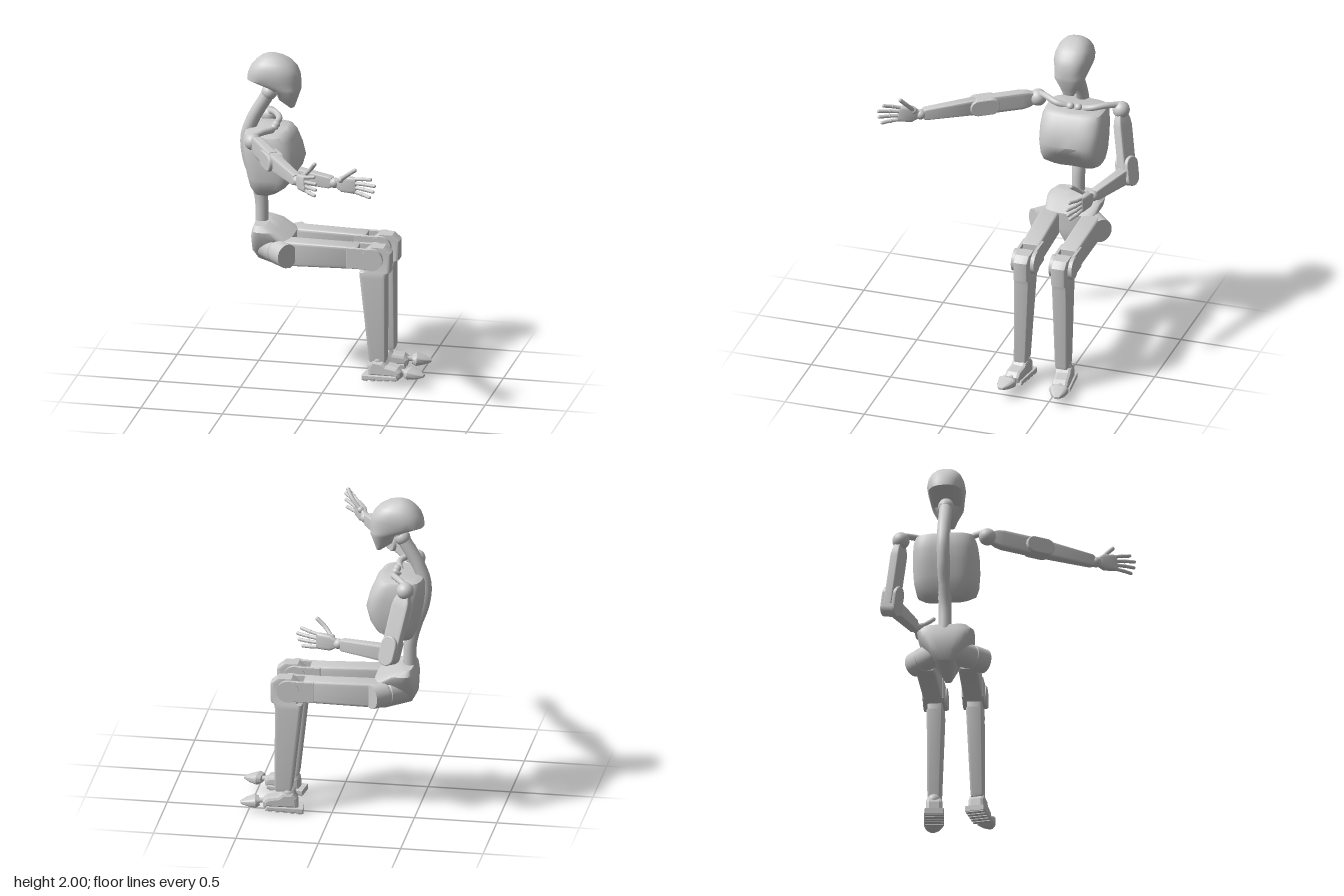
import * as THREE from 'three';
import { toCreasedNormals } from 'three/addons/utils/BufferGeometryUtils.js';

const V = (x, y, z) => new THREE.Vector3(x, y, z);
const mat = new THREE.MeshStandardMaterial({ color: 0xcccccc, roughness: 0.7 });
const MID = -0.37; // z of the body's mirror plane

function add(parent, name, geometry, pos) {
  const m = new THREE.Mesh(geometry, mat);
  m.name = name;
  if (pos) m.position.copy(pos);
  parent.add(m);
  return m;
}

// Skin over rounded cross-sections [y, xMin, xMax, halfZ, zOffset]; small p = boxier.
function loft(sections, p = 0.7, warp, n = 40) {
  const pos = [], idx = [];
  for (const [y, x0, x1, hz, dz = 0] of sections) {
    for (let j = 0; j < n; j++) {
      const t = (j / n) * Math.PI * 2, c = Math.cos(t), s = Math.sin(t);
      const v = V((x0 + x1) / 2 + ((x1 - x0) / 2) * Math.sign(c) * Math.abs(c) ** p, y,
        dz + hz * Math.sign(s) * Math.abs(s) ** p);
      if (warp) warp(v);
      pos.push(v.x, v.y, v.z);
    }
  }
  const last = sections.length - 1;
  for (let i = 0; i < last; i++) {
    for (let j = 0; j < n; j++) {
      const k = (j + 1) % n, a = i * n + j, c = i * n + k;
      idx.push(a, a + n, c, c, a + n, c + n);
    }
  }
  for (let j = 1; j < n - 1; j++) {
    idx.push(0, j, j + 1, last * n, last * n + j + 1, last * n + j);
  }
  const g = new THREE.BufferGeometry();
  g.setAttribute('position', new THREE.Float32BufferAttribute(pos, 3));
  g.setIndex(idx);
  return toCreasedNormals(g, 0.6);
}

// Group at a with its +z axis pointing to b
function aim(parent, name, a, b, up) {
  const g = new THREE.Group();
  g.name = name;
  if (up) g.up.copy(up);
  g.position.copy(a);
  g.lookAt(b);
  parent.add(g);
  return g;
}

// Boxy bar along +z from stations [z, halfWidth, halfHeight]
const bar = (stations, p = 0.22) =>
  loft(stations.map(([z, w, h]) => [z, -w, w, h]), p).rotateX(Math.PI / 2);

const tube = (pts, r) => new THREE.TubeGeometry(new THREE.CatmullRomCurve3(pts), 40, r, 16);
const ball = (r) => new THREE.SphereGeometry(r, 24, 16);
const disc = (r, h) => toCreasedNormals(new THREE.CylinderGeometry(r, r, h, 32).rotateX(Math.PI / 2), 0.6);

// Side profile in x,y given a width in z
function slab(points, width, bevel = 0.012) {
  const shape = new THREE.Shape(points.map(([x, y]) => new THREE.Vector2(x, y)));
  const depth = width - 2 * bevel;
  return new THREE.ExtrudeGeometry(shape, {
    depth, bevelSize: bevel, bevelThickness: bevel, bevelOffset: -bevel, bevelSegments: 2,
  }).translate(0, 0, -depth / 2);
}

// Hand pointing along +z, thumb up, palm towards local x * side
function makeHand(parent, wrist, tip, side) {
  const g = aim(parent, 'hand', wrist, tip);
  add(g, 'wrist', ball(0.032));
  add(g, 'palm', bar([[0.015, 0.018, 0.026], [0.05, 0.024, 0.048], [0.12, 0.02, 0.05], [0.14, 0.013, 0.045]], 0.45));
  const lengths = [0.12, 0.145, 0.135, 0.11];
  lengths.forEach((len, i) => {
    const y = 0.038 - i * 0.026, spread = y * 0.45;
    const pts = [V(0, y, 0.125), V(0.004 * side, y + spread * 0.5, 0.125 + len * 0.5),
      V(0.016 * side, y + spread, 0.125 + len)];
    add(g, 'finger', tube(pts, 0.0105));
    add(g, 'fingerKnuckle', ball(0.0135), pts[0]);
    add(g, 'fingerJoint', ball(0.0125), pts[1]);
    add(g, 'fingerTip', ball(0.0105), pts[2]);
  });
  const thumb = [V(0.015 * side, 0.03, 0.05), V(0.045 * side, 0.075, 0.105), V(0.055 * side, 0.115, 0.16)];
  add(g, 'thumb', tube(thumb, 0.0125));
  add(g, 'thumbBase', ball(0.02), thumb[0]);
  add(g, 'thumbTip', ball(0.0125), thumb[2]);
}

function makeArm(root, name, shoulder, elbow, wrist, tip, side, up) {
  const arm = new THREE.Group();
  arm.name = name;
  root.add(arm);
  add(arm, 'shoulder', ball(0.052), shoulder);
  // Upper arm with a long rounded elbow plate
  const L = shoulder.distanceTo(elbow);
  const upper = aim(arm, 'upperArm', shoulder, elbow, up);
  add(upper, 'upperArmShell', bar([[0.02, 0.018, 0.035], [0.06, 0.026, 0.05], [0.1, 0.03, 0.056], [L, 0.03, 0.055]]));
  const plate = new THREE.Shape();
  plate.absarc(0.04, 0, 0.052, -Math.PI / 2, Math.PI / 2);
  plate.absarc(-0.04, 0, 0.052, Math.PI / 2, Math.PI * 1.5);
  const plateGeo = new THREE.ExtrudeGeometry(plate, {
    depth: 0.08, bevelSize: 0.006, bevelThickness: 0.01, bevelOffset: -0.006, bevelSegments: 2, curveSegments: 20,
  }).translate(0, 0, -0.04).rotateY(-Math.PI / 2);
  add(upper, 'elbowPlate', plateGeo, V(0, 0, L - 0.02));
  // Forearm tapers to the wrist
  const F = elbow.distanceTo(wrist);
  const fore = aim(arm, 'forearm', elbow, wrist);
  add(fore, 'forearmShell', bar([[-0.03, 0.02, 0.035], [0, 0.033, 0.052], [F - 0.03, 0.026, 0.036], [F - 0.015, 0.02, 0.03]]));
  makeHand(arm, wrist, tip, side);
  // Collar bone
  add(arm, 'collarBone', tube([V(-0.39, 1.525, MID + 0.03 * side), V(-0.37, 1.55, MID + 0.11 * side),
    V(-0.41, 1.56, MID + 0.19 * side), shoulder.clone().add(V(0, 0.03, -0.01 * side))], 0.019));
}

function makeLeg(root, name, s, hipZ, kneeZ, ankleZ, footX, footY) {
  const leg = new THREE.Group();
  leg.name = name;
  root.add(leg);
  // Angled hip drum
  const hip = aim(leg, 'hip', V(-0.4, 0.795, MID + 0.06 * s), V(-0.247, 0.795, MID + 0.213 * s));
  add(hip, 'hipDrum', bar([[-0.05, 0.045, 0.055], [-0.02, 0.068, 0.074], [0.1, 0.07, 0.076], [0.105, 0.066, 0.071],
    [0.115, 0.066, 0.071], [0.12, 0.07, 0.076], [0.216, 0.068, 0.074]], 1));
  // Thigh ending in a fork around the knee
  const a = V(-0.3, 0.795, hipZ), b = V(0.165, 0.793, kneeZ);
  const T = a.distanceTo(b);
  const thigh = aim(leg, 'thigh', a, b);
  add(thigh, 'thighShell', bar([[0, 0.05, 0.068], [0.03, 0.06, 0.077], [T - 0.01, 0.058, 0.07], [T, 0.052, 0.065]]));
  for (const k of [-1, 1]) {
    add(leg, 'kneeFork', slab([[0.1, 0.73], [0.27, 0.727], [0.27, 0.859], [0.1, 0.859]], 0.02, 0.004), V(0, 0, kneeZ + k * 0.055));
    add(leg, 'kneeDisc', disc(0.068, 0.024), V(0.255, 0.793, kneeZ + k * 0.06));
  }
  // Shin with the knuckle on top
  const dz = ankleZ;
  add(leg, 'shin', loft([[0.14, 0.24, 0.335, 0.036, dz], [0.16, 0.235, 0.34, 0.04, dz],
    [0.67, 0.178, 0.34, 0.049, kneeZ], [0.7, 0.175, 0.345, 0.049, kneeZ], [0.71, 0.2, 0.365, 0.045, kneeZ],
    [0.83, 0.2, 0.368, 0.045, kneeZ], [0.865, 0.24, 0.325, 0.045, kneeZ]], 0.2));
  // Foot with grooved sole and a separate toe
  const foot = new THREE.Group();
  foot.name = 'foot';
  foot.position.set(0.29 + footX, footY, ankleZ);
  foot.rotation.y = -0.12 * s;
  leg.add(foot);
  add(foot, 'ankle', ball(0.045), V(0, 0.125, 0));
  add(foot, 'footShell', slab([[-0.06, 0.03], [-0.055, 0.1], [-0.03, 0.135], [0.04, 0.13], [0.06, 0.11],
    [0.13, 0.1], [0.155, 0.075], [0.15, 0.035]], 0.1, 0.02));
  add(foot, 'sole', slab([[-0.09, 0.006], [-0.09, 0.04], [0.13, 0.05], [0.14, 0.026]], 0.12, 0.006));
  for (let i = 0; i < 5; i++) {
    add(foot, 'soleRidge', new THREE.BoxGeometry(0.024, 0.014, 0.11), V(-0.07 + i * 0.045, 0.008 + i * 0.004, 0));
  }
  const toe = aim(foot, 'toe', V(0.15, 0.07, 0), V(0.3, 0.058, 0.01 * s));
  add(toe, 'toeLink', bar([[-0.02, 0.015, 0.015], [0.05, 0.015, 0.015]], 1));
  add(toe, 'toeCap', bar([[0.025, 0.045, 0.022], [0.05, 0.058, 0.034], [0.1, 0.042, 0.022], [0.14, 0.015, 0.008]], 0.65));
}

export function createModel() {
  const root = new THREE.Group();
  root.name = 'seatedRobot';

  // Helmet head tapering to the chin
  add(root, 'head', loft([[1.675, -0.28, -0.25, 0.035], [1.72, -0.345, -0.235, 0.06], [1.78, -0.365, -0.215, 0.092],
    [1.8, -0.42, -0.213, 0.098], [1.84, -0.538, -0.213, 0.108], [1.88, -0.533, -0.218, 0.114],
    [1.92, -0.517, -0.235, 0.108], [1.955, -0.488, -0.268, 0.093], [1.98, -0.458, -0.31, 0.068],
    [1.994, -0.43, -0.35, 0.04], [2, -0.405, -0.385, 0.015]], 0.8), V(0, 0, MID));

  // Neck and spine
  add(root, 'neckJoint', ball(0.048), V(-0.405, 1.755, MID));
  add(root, 'spine', tube([V(-0.38, 1.8, MID), V(-0.42, 1.73, MID), V(-0.505, 1.58, MID), V(-0.543, 1.46, MID),
    V(-0.53, 1.33, MID), V(-0.485, 1.2, MID), V(-0.455, 1.08, MID), V(-0.45, 0.92, MID)], 0.04));

  // Chest with an arched lower front edge
  const arch = (v) => {
    const front = THREE.MathUtils.clamp((v.x + 0.4) / 0.18, 0, 1);
    const low = THREE.MathUtils.clamp((1.3 - v.y) / 0.12, 0, 1);
    v.y += 0.09 * front * low * Math.max(0, 1 - (v.z / 0.18) ** 2);
  };
  add(root, 'chest', loft([[1.125, -0.46, -0.34, 0.09], [1.14, -0.48, -0.31, 0.13], [1.19, -0.505, -0.25, 0.178],
    [1.25, -0.52, -0.22, 0.192], [1.34, -0.54, -0.2, 0.197], [1.42, -0.55, -0.22, 0.197],
    [1.49, -0.55, -0.25, 0.19], [1.52, -0.54, -0.275, 0.178], [1.532, -0.51, -0.3, 0.15]], 0.55, arch), V(0, 0, MID));
  for (const k of [-1, 1]) add(root, 'neckKnob', ball(0.024), V(-0.37, 1.54, MID + k * 0.025));

  // Pelvis narrowing to the crotch
  add(root, 'pelvis', loft([[0.655, -0.31, -0.27, 0.02], [0.715, -0.47, -0.25, 0.06], [0.77, -0.5, -0.25, 0.1],
    [0.87, -0.5, -0.25, 0.165], [0.915, -0.49, -0.33, 0.172], [0.945, -0.48, -0.4, 0.13]], 0.5), V(0, 0, MID));

  // Arms: one reaching out, one bent at the elbow
  makeArm(root, 'reachingArm', V(-0.45, 1.522, -0.115), V(-0.26, 1.515, 0.185),
    V(-0.04, 1.512, 0.49), V(0.115, 1.56, 0.73), 1);
  makeArm(root, 'bentArm', V(-0.466, 1.517, -0.634), V(-0.385, 1.135, -0.7),
    V(-0.055, 1.13, -0.59), V(0.22, 1.135, -0.53), -1, V(0.93, 0, 0.35));

  // Legs
  makeLeg(root, 'reachingSideLeg', 1, -0.25, -0.271, -0.26, 0, 0.02);
  makeLeg(root, 'bentSideLeg', -1, -0.507, -0.509, -0.52, -0.03, 0);
  return root;
}
